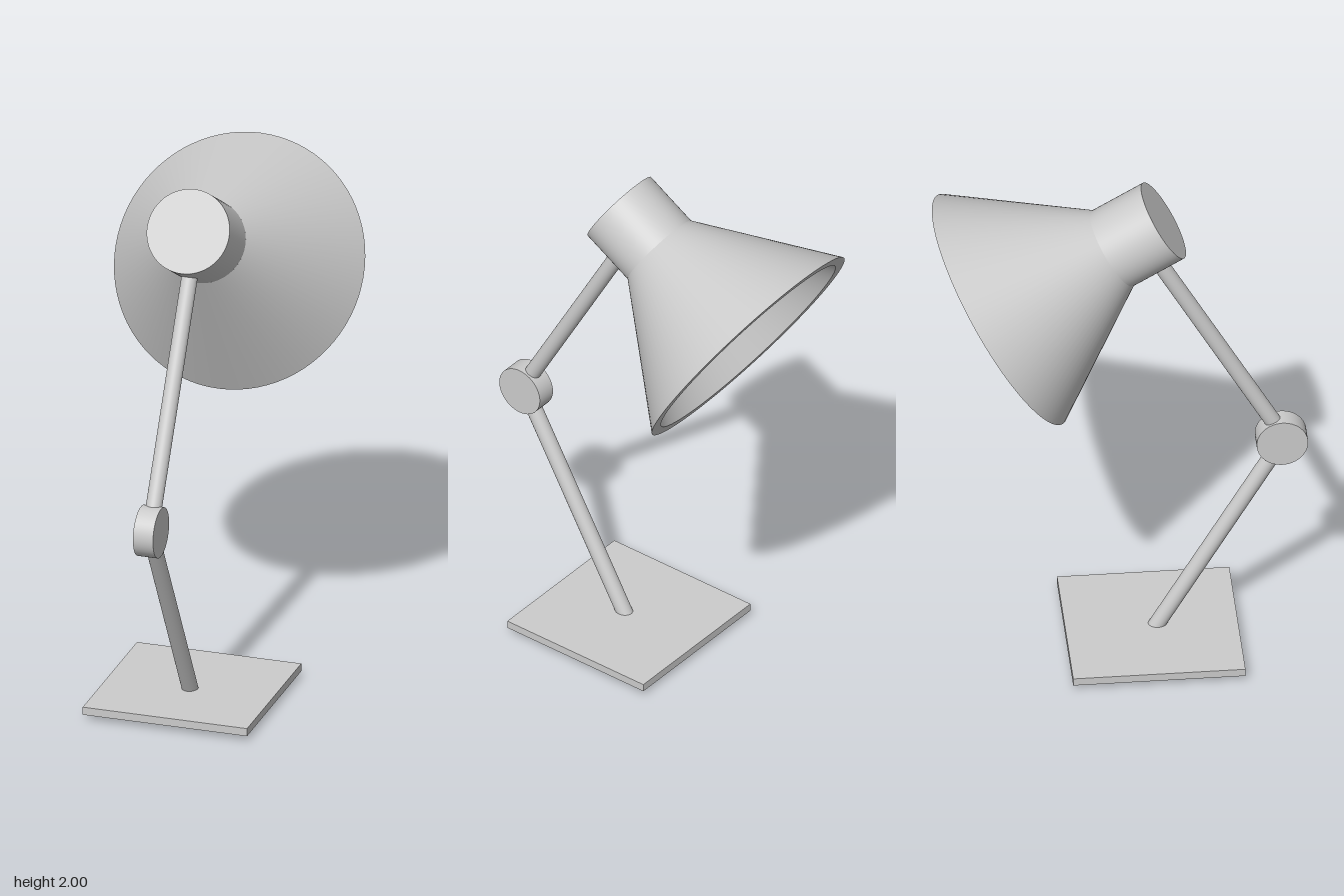
import * as THREE from 'three';
import { toCreasedNormals } from 'three/addons/utils/BufferGeometryUtils.js';

const material = new THREE.MeshStandardMaterial({ color: 0xcccccc });

function addPart(parent, name, geometry, x = 0, y = 0, z = 0) {
  const mesh = new THREE.Mesh(geometry, material);
  mesh.name = name;
  mesh.position.set(x, y, z);
  parent.add(mesh);
  return mesh;
}

// Round rod running between two points in the middle plane, given as (y, z)
function addRod(parent, name, [y0, z0], [y1, z1], radius) {
  const length = Math.hypot(y1 - y0, z1 - z0);
  const rod = addPart(parent, name, new THREE.CylinderGeometry(radius, radius, length, 32),
    0, (y0 + y1) / 2, (z0 + z1) / 2);
  rod.rotation.x = Math.atan2(z1 - z0, y1 - y0);
}

export function createModel() {
  const lamp = new THREE.Group();
  lamp.name = 'deskLamp';

  // Flat square base
  addPart(lamp, 'base', new THREE.BoxGeometry(0.63, 0.03, 0.63), 0, 0.035, 0.115);

  // Two arms meeting at the elbow; the lower one pokes through the base
  addRod(lamp, 'lowerArm', [0.015, 0.118], [0.855, 0.6], 0.03);
  addRod(lamp, 'upperArm', [0.855, 0.604], [1.72, 0.121], 0.03);
  const elbow = addPart(lamp, 'elbowJoint',
    new THREE.CylinderGeometry(0.094, 0.094, 0.077, 48), 0, 0.855, 0.591);
  elbow.rotation.z = Math.PI / 2;

  // Tilted head: local +y points to the closed end, the origin is where socket and shade meet
  const head = new THREE.Group();
  head.name = 'head';
  head.position.set(0, 1.755, -0.027);
  head.rotation.x = 1.028;
  lamp.add(head);

  addPart(head, 'socketHousing', new THREE.CylinderGeometry(0.157, 0.157, 0.218, 64), 0, 0.109, 0);

  // Thick-walled conical shade with a flat rim
  const profile = [[0.475, -0.48], [0.157, 0], [0.141, 0], [0.43, -0.48], [0.475, -0.48]]
    .map(([r, y]) => new THREE.Vector2(r, y));
  addPart(head, 'shade', toCreasedNormals(new THREE.LatheGeometry(profile, 80), 0.6));

  // Bulb on a short neck
  addPart(head, 'bulbNeck', new THREE.CylinderGeometry(0.032, 0.032, 0.13, 32), 0, -0.055, -0.02);
  addPart(head, 'bulb', new THREE.SphereGeometry(0.063, 32, 20), 0, -0.125, -0.02);

  return lamp;
}
